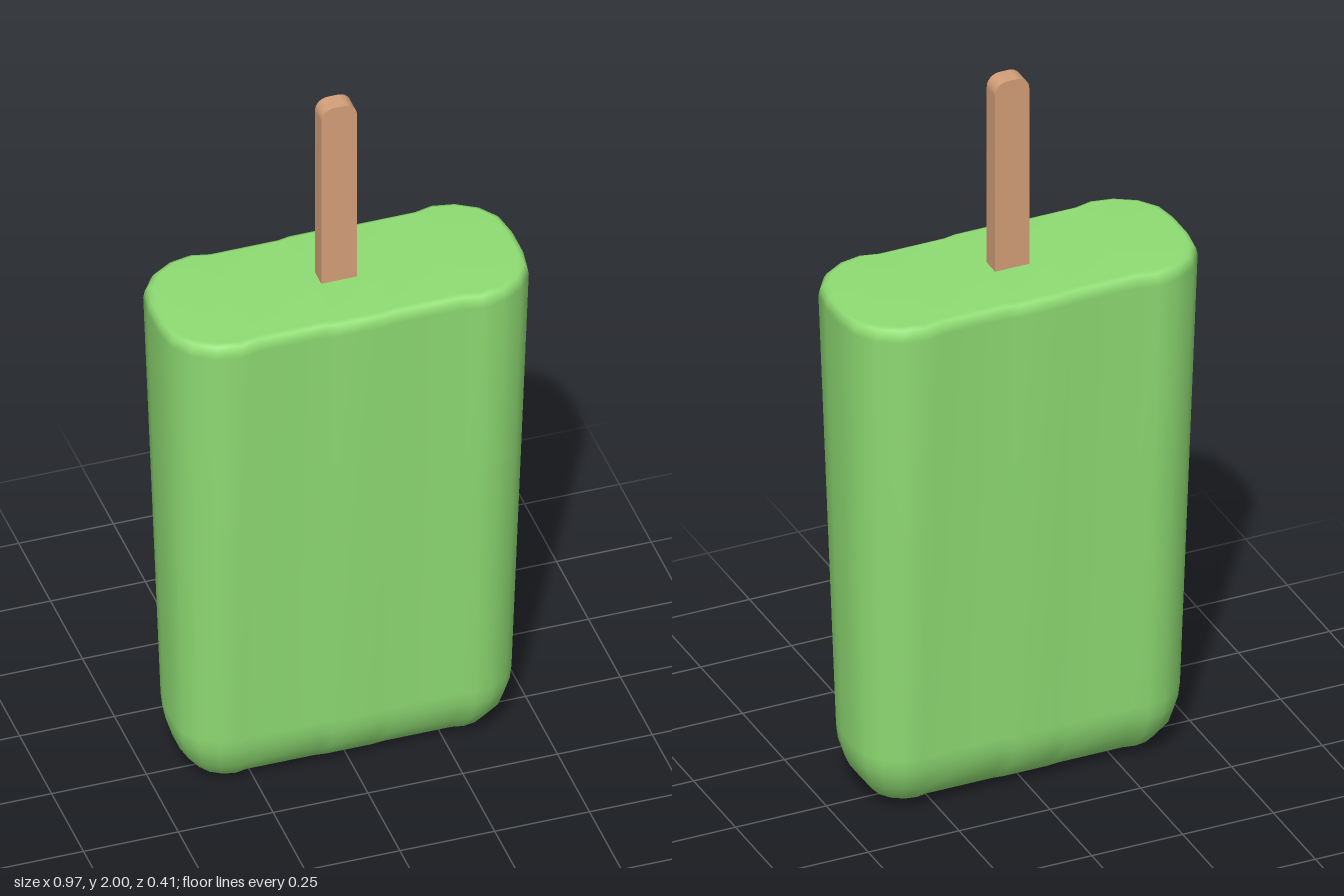
import * as THREE from 'three';

// Quarter of the wavy ice outline, from the flat face centre to the end.
const QUARTER = [[0.06, 0.202], [0.09, 0.195], [0.27, 0.195], [0.32, 0.207],
  [0.38, 0.195], [0.436, 0.16], [0.472, 0.108], [0.483, 0.042]];
const SPINE = 0.28; // half length of the core line the rings shrink onto

// Ring rule: [scale about the core line, height]
const RINGS = [[0, 0.003], [0.28, 0.009], [0.52, 0.037], [0.7, 0.087], [0.78, 0.14], [0.8, 0.18],
  [0.9, 0.8], [1, 1.42], [0.985, 1.438], [0.95, 1.45], [0.89, 1.455], [0, 1.455]];

function iceGeometry() {
  const back = [...QUARTER].reverse();
  const outline = [
    ...QUARTER.map(([x, z]) => [x, z]),
    ...back.map(([x, z]) => [x, -z]),
    ...QUARTER.map(([x, z]) => [-x, -z]),
    ...back.map(([x, z]) => [-x, z]),
  ];
  const n = outline.length;
  const positions = [], index = [];
  RINGS.forEach(([s, y], r) => {
    outline.forEach(([x, z], i) => {
      const core = THREE.MathUtils.clamp(x, -SPINE, SPINE);
      positions.push(core + (x - core) * s, y, z * s);
      if (r === RINGS.length - 1) return;
      const a = r * n + i, b = r * n + (i + 1) % n;
      index.push(a, b, b + n, a, b + n, a + n);
    });
  });
  const g = new THREE.BufferGeometry();
  g.setAttribute('position', new THREE.Float32BufferAttribute(positions, 3));
  g.setIndex(index);
  g.computeVertexNormals();
  return g;
}

// Flat stick with a rounded free end
function stickGeometry() {
  const w = 0.047, r = 0.034, bottom = 1.2, top = 2, depth = 0.05;
  const s = new THREE.Shape();
  s.moveTo(-w, bottom);
  s.lineTo(w, bottom);
  s.lineTo(w, top - r);
  s.absarc(w - r, top - r, r, 0, Math.PI / 2, false);
  s.absarc(r - w, top - r, r, Math.PI / 2, Math.PI, false);
  s.closePath();
  const g = new THREE.ExtrudeGeometry(s, { depth, bevelEnabled: false, curveSegments: 5 });
  return g.translate(0, 0, -depth / 2);
}

export function createModel() {
  const group = new THREE.Group();
  group.name = 'icePop';
  const add = (name, geometry, color) => {
    const mesh = new THREE.Mesh(geometry, new THREE.MeshStandardMaterial({ color }));
    mesh.name = name;
    group.add(mesh);
  };
  add('ice', iceGeometry(), 0x8fdc73);
  add('stick', stickGeometry(), 0xd49f78);
  return group;
}
